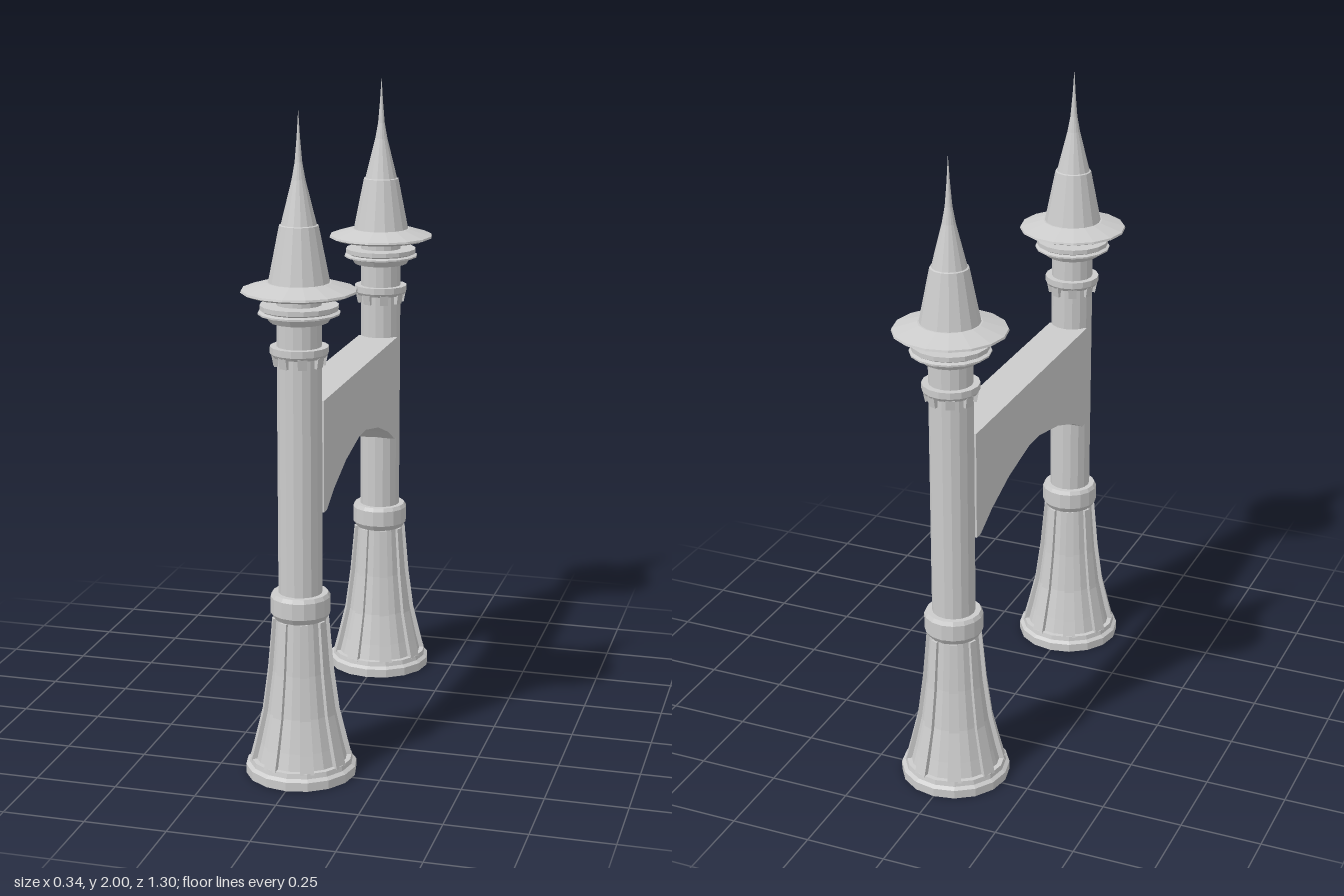
import * as THREE from 'three';

const SIDES = 16;
const TOWER_Z = 0.48;
const material = new THREE.MeshStandardMaterial({ color: 0xcccccc, flatShading: true, side: THREE.DoubleSide });

function addMesh(parent, name, geometry) {
  const mesh = new THREE.Mesh(geometry, material);
  mesh.name = name;
  parent.add(mesh);
  return mesh;
}

// Turned part from [radius, height] pairs, listed from bottom to top
function turned(parent, name, profile) {
  const points = profile.map(([r, y]) => new THREE.Vector2(r, y));
  return addMesh(parent, name, new THREE.LatheGeometry(points, SIDES));
}

// Wedge ring: a [radius, height] outline repeated around the axis, widening with radius
function radialWedges(parent, name, outline, count, halfAngle) {
  const group = new THREE.Group();
  group.name = name + 's';
  const shape = new THREE.Shape(outline.map(([r, y]) => new THREE.Vector2(r, y)));
  const geometry = new THREE.ExtrudeGeometry(shape, { depth: 2, bevelEnabled: false });
  geometry.translate(0, 0, -1);
  const pos = geometry.attributes.position;
  const spread = Math.tan(halfAngle);
  for (let i = 0; i < pos.count; i++) pos.setZ(i, pos.getZ(i) * pos.getX(i) * spread);
  geometry.computeVertexNormals();
  for (let i = 0; i < count; i++) {
    addMesh(group, name, geometry).rotation.y = ((i + 0.5) / count) * Math.PI * 2;
  }
  parent.add(group);
}

function createTower(name) {
  const tower = new THREE.Group();
  tower.name = name;

  turned(tower, 'plinth', [
    [0, 0], [0.168, 0], [0.168, 0.027], [0.157, 0.035], [0.154, 0.05], [0, 0.055],
  ]);

  // Flared foot with raised ribs framing its recessed panels
  turned(tower, 'flaredFoot', [
    [0.141, 0.045], [0.127, 0.1], [0.105, 0.2], [0.088, 0.33], [0.075, 0.5],
  ]);
  radialWedges(tower, 'footRib', [
    [0.12, 0.045], [0.153, 0.045], [0.139, 0.1], [0.115, 0.2], [0.098, 0.33], [0.084, 0.49],
    [0.06, 0.49], [0.075, 0.33], [0.09, 0.2],
  ], 8, 0.14);
  turned(tower, 'footCollar', [
    [0.065, 0.49], [0.078, 0.49], [0.09, 0.508], [0.09, 0.558], [0.083, 0.57], [0.065, 0.57],
  ]);

  turned(tower, 'shaft', [[0.066, 0.48], [0.066, 1.48]]);

  // Corbelled ring below the lantern neck
  turned(tower, 'corbelRing', [
    [0.065, 1.288], [0.079, 1.288], [0.086, 1.298], [0.086, 1.318], [0.065, 1.318],
  ]);
  radialWedges(tower, 'corbel', [
    [0.06, 1.26], [0.075, 1.26], [0.081, 1.292], [0.06, 1.292],
  ], 8, 0.17);

  turned(tower, 'neckMoulding', [
    [0.065, 1.39], [0.086, 1.39], [0.098, 1.408], [0.12, 1.413], [0.12, 1.418],
    [0.108, 1.422], [0.115, 1.426], [0.115, 1.44], [0.065, 1.44],
  ]);

  turned(tower, 'roofBrim', [
    [0.06, 1.47], [0.15, 1.47], [0.17, 1.478], [0.168, 1.484], [0.095, 1.506], [0, 1.506],
  ]);
  turned(tower, 'spire', [
    [0.091, 1.5], [0.057, 1.67], [0.052, 1.672], [0.02, 1.8], [0.011, 1.85], [0.005, 1.92], [0, 2],
  ]);
  return tower;
}

// Solid span with an arched underside, profiled along z
function createBridge() {
  const end = 0.45;
  const half = [[0.42, 0.81], [0.335, 0.855], [0.2, 0.905], [0.04, 0.938]];
  const arch = [...half, ...half.map(([z, y]) => [-z, y]).reverse()];
  const outline = [[-end, 1.15], [end, 1.15], [end, 0.81], ...arch, [-end, 0.81]];
  const shape = new THREE.Shape(outline.map(([z, y]) => new THREE.Vector2(z, y)));
  const geometry = new THREE.ExtrudeGeometry(shape, { depth: 0.13, bevelEnabled: false });
  geometry.translate(0, 0, -0.065);
  geometry.rotateY(Math.PI / 2);
  return geometry;
}

export function createModel() {
  const model = new THREE.Group();
  model.name = 'twinTowerBridge';
  for (const side of [1, -1]) {
    const tower = createTower(side > 0 ? 'frontTower' : 'backTower');
    tower.position.z = side * TOWER_Z;
    model.add(tower);
  }
  addMesh(model, 'archedBridge', createBridge());
  return model;
}
